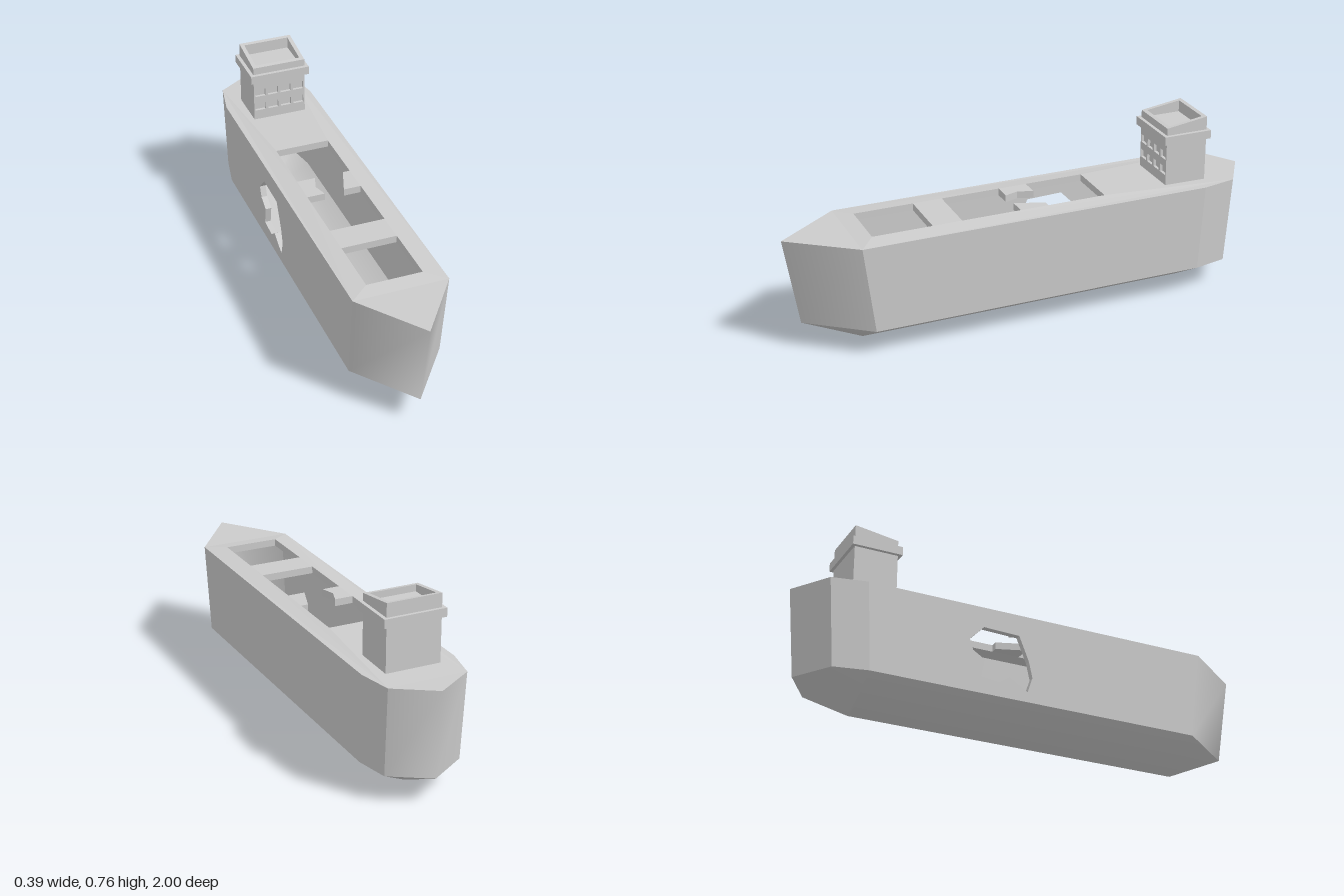
import * as THREE from 'three';
import { mergeVertices } from 'three/addons/utils/BufferGeometryUtils.js';

const material = new THREE.MeshStandardMaterial({ color: 0xcccccc });
const V = (x, y, z) => new THREE.Vector3(x, y, z);
const DECK_Y = 0.483, CHINE_Y = 0.115, WALL = 0.025;

function add(parent, name, geometry) {
  const mesh = new THREE.Mesh(geometry, material);
  mesh.name = name;
  parent.add(mesh);
  return mesh;
}

function polygon(points, holes = []) {
  const toVec = (list) => list.map(([x, y]) => new THREE.Vector2(x, y));
  const shape = new THREE.Shape(toVec(points));
  holes.forEach((h) => shape.holes.push(new THREE.Path(toVec(h))));
  return shape;
}

const extrude = (shape, depth) =>
  new THREE.ExtrudeGeometry(shape, { depth, bevelEnabled: false });

const rect = (x0, y0, x1, y1) => [[x0, y0], [x1, y0], [x1, y1], [x0, y1]];

// Apply a rule to every vertex, then rebuild flat normals
function reshape(geometry, rule) {
  const pos = geometry.attributes.position;
  const v = new THREE.Vector3();
  for (let i = 0; i < pos.count; i++) {
    rule(v.fromBufferAttribute(pos, i));
    pos.setXYZ(i, v.x, v.y, v.z);
  }
  geometry.computeVertexNormals();
  return geometry;
}

// Smooth plating between an upper and a lower row of points
function strip(upper, lower, inward = false) {
  const n = upper.length, index = [];
  for (let i = 0; i < n - 1; i++) {
    const a = i, b = i + 1, c = n + i, d = n + i + 1;
    index.push(...(inward ? [c, b, d, c, a, b] : [c, d, b, c, b, a]));
  }
  let g = new THREE.BufferGeometry().setFromPoints([...upper, ...lower]);
  g.setIndex(index);
  g = mergeVertices(g, 1e-5);
  g.computeVertexNormals();
  return g;
}

// Closed outline: bow tip, left shoulder, quarter, corner, stern tip, then mirrored
function outline(y, bow, side, stern) {
  const mirrored = [...side].reverse().map(([x, z]) => [-x, z]);
  return [[0, bow], ...side, [0, stern], ...mirrored].map(([x, z]) => V(x, y, z));
}

function buildHull() {
  const hull = new THREE.Group();
  hull.name = 'hull';
  const top = outline(DECK_Y, 1, [[0.195, 0.735], [0.195, -0.75], [0.165, -0.895]], -1);
  const chine = outline(CHINE_Y, 0.94, [[0.19, 0.69], [0.19, -0.73], [0.16, -0.87]], -0.97);
  const keel = chine.map((p) => V(0, 0, THREE.MathUtils.clamp(p.z, -0.74, 0.69)));
  const inset = (row, lift) => row.map((p) => V(p.x * 0.87, p.y + lift, p.z * 0.97));
  const pick = (row, ids) => ids.map((i) => row[i]);

  // Outer skin and inner lining
  [[top, chine, keel, false, 'Plating'],
    [inset(top, -0.01), inset(chine, 0.02), inset(keel, 0.03), true, 'Lining']]
    .forEach(([t, c, k, inward, kind]) => {
      const parts = { bow: [7, 0, 1], leftQuarter: [2, 3], stern: [3, 4, 5], rightQuarter: [5, 6] };
      for (const [name, ids] of Object.entries(parts)) {
        add(hull, name + kind, strip(pick(t, ids), pick(c, ids), inward));
      }
      add(hull, 'bottom' + kind, strip([...c, c[0]], [...k, k[0]], inward));
    });

  // Thick side walls; the right one has a jagged breach
  const breach = [[-0.105, 0.393], [-0.26, 0.398], [-0.32, 0.335], [-0.305, 0.29],
    [-0.255, 0.26], [-0.27, 0.185], [-0.19, 0.175], [-0.147, 0.206],
    [-0.067, 0.158], [-0.046, 0.222], [-0.062, 0.29]];
  const wall = [[0.735, DECK_Y], [0.69, CHINE_Y], [-0.73, CHINE_Y], [-0.75, DECK_Y]];
  for (const s of [1, -1]) {
    const flip = (list) => list.map(([z, y]) => [-s * z, y]);
    const g = extrude(polygon(flip(wall), s < 0 ? [flip(breach)] : []), WALL);
    reshape(g, (v) => {
      const half = THREE.MathUtils.mapLinear(v.y, CHINE_Y, DECK_Y, 0.19, 0.195);
      v.set(s * (half - WALL + v.z), v.y, -s * v.x);
    });
    add(hull, s > 0 ? 'leftSide' : 'rightSide', g);
  }

  // Slightly raised deck with one hatch and a pair joined by a broken beam
  const flat = (list) => list.map(([x, z]) => [x, -z]);
  const joined = [[-0.115, -0.325], [0.115, -0.325], [0.115, -0.075], [0.085, -0.075],
    [0.042, 0.046], [0.115, 0.046], [0.115, 0.296], [-0.115, 0.296], [-0.115, 0.046],
    [-0.04, 0.046], [-0.058, -0.012], [-0.037, -0.075], [-0.115, -0.075]];
  const deckShape = polygon(flat(top.map((p) => [p.x, p.z])),
    [flat(rect(-0.115, 0.42, 0.115, 0.67)), flat(joined)]);
  const deck = extrude(deckShape, 0.03).rotateX(-Math.PI / 2);
  add(hull, 'deck', reshape(deck, (v) => {
    const edge = Math.abs(v.x) > 0.12 || Math.abs(v.z) > 0.7;
    const under = v.y < 0.015;
    v.y = (edge ? DECK_Y : 0.491) - (under ? 0.03 : 0);
    if (edge && under) { v.x *= 0.98; v.z *= 0.98; }
  }));
  return hull;
}

function buildBridge() {
  const bridge = new THREE.Group();
  bridge.name = 'bridge';
  const FRONT = -0.603, BACK = -0.785, HALF = 0.115, BASE = 0.475, FLOOR = 0.712;
  const block = (name, half, y0, y1, z0, z1) => add(bridge, name,
    new THREE.BoxGeometry(half * 2, y1 - y0, z1 - z0)
      .translate(0, (y0 + y1) / 2, (z0 + z1) / 2));

  block('tower', HALF, BASE, FLOOR, BACK, FRONT - 0.012);
  block('balcony', 0.13, 0.67, 0.706, -0.798, -0.588);

  // Front wall with two rows of recessed windows
  const windows = [];
  for (const y of [0.53, 0.597]) {
    for (let i = 0; i < 4; i++) {
      const x = -0.0865 + i * 0.0573;
      windows.push(rect(x - 0.023, y, x + 0.023, y + 0.034));
    }
  }
  const front = extrude(polygon(rect(-HALF, BASE, HALF, FLOOR), windows), 0.012);
  add(bridge, 'windowWall', front.translate(0, 0, FRONT - 0.012));

  // Roof parapet, sloping up toward the stern
  const rim = extrude(polygon(rect(-HALF, -FRONT, HALF, -BACK),
    [rect(-0.098, -FRONT + 0.017, 0.098, -BACK - 0.016)]), 1).rotateX(-Math.PI / 2);
  add(bridge, 'parapet', reshape(rim, (v) => {
    v.y = v.y > 0.5 ? THREE.MathUtils.mapLinear(v.z, FRONT, BACK, 0.737, 0.763) : FLOOR;
  }));
  return bridge;
}

export function createModel() {
  const ship = new THREE.Group();
  ship.name = 'cargoShip';
  ship.add(buildHull(), buildBridge());
  return ship;
}
